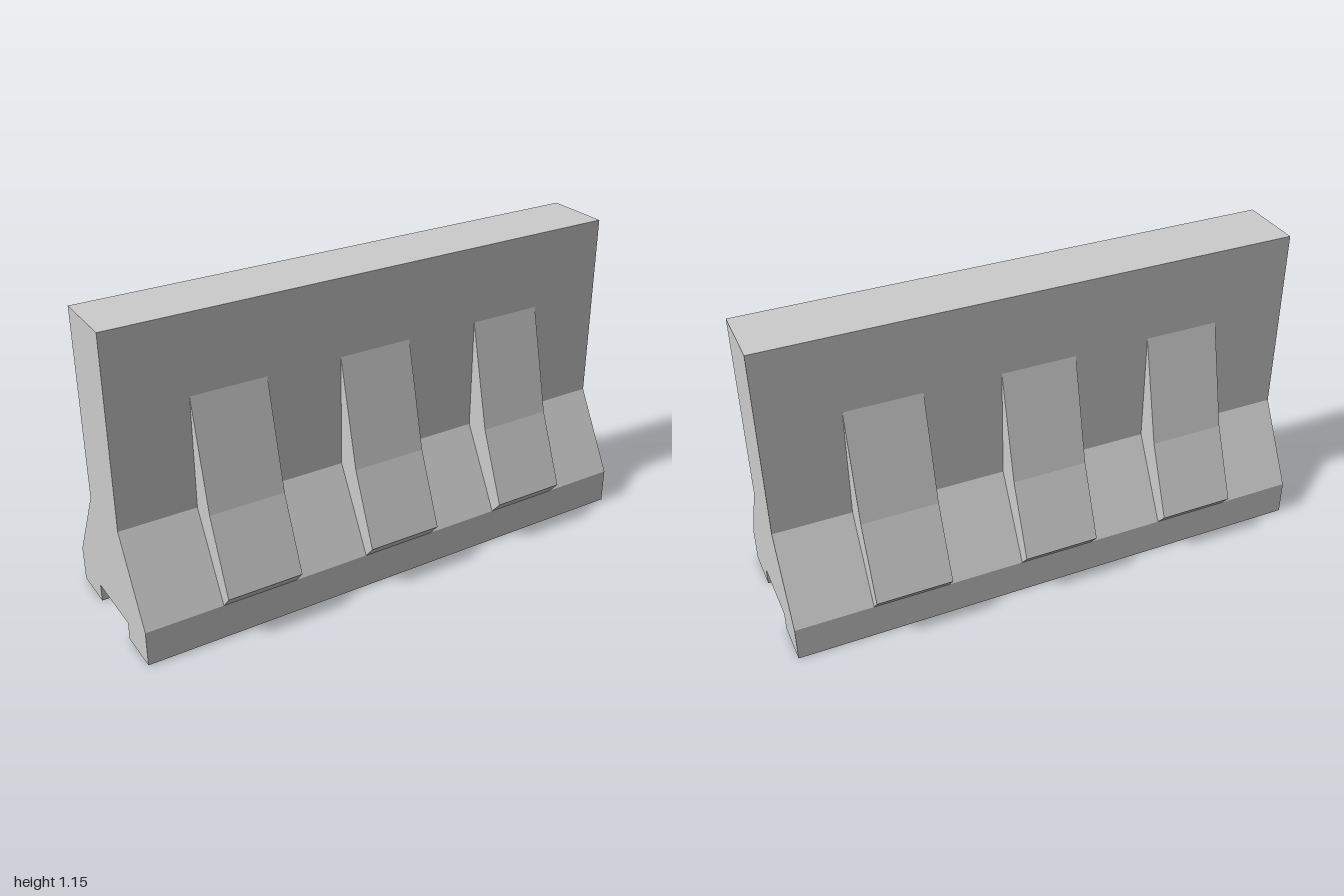
import * as THREE from 'three';

const material = new THREE.MeshStandardMaterial({ color: 0xcccccc, flatShading: true });

// Extrudes a [z, y] outline along x, centred on x = 0
function extrudeAlongX(points, length) {
  const shape = new THREE.Shape(points.map(([z, y]) => new THREE.Vector2(z, y)));
  const geometry = new THREE.ExtrudeGeometry(shape, { depth: length, bevelEnabled: false });
  geometry.translate(0, 0, -length / 2);
  geometry.rotateY(-Math.PI / 2);
  return geometry;
}

export function createModel() {
  const group = new THREE.Group();
  group.name = 'concreteBarrier';

  // Wall with sloped foot and a channel along the underside
  const half = [[0.129, 0.068], [0.129, 0], [0.293, 0], [0.293, 0.133], [0.124, 0.436], [0.124, 1.15]];
  const mirrored = half.map(([z, y]) => [-z, y]).reverse();
  const wall = new THREE.Mesh(extrudeAlongX([...half, ...mirrored], 2), material);
  wall.name = 'wall';
  group.add(wall);

  // Three buttresses on each face, their inner edge sunk into the wall
  const buttressGeometry = extrudeAlongX(
    [[0.1, 0.2], [0.293, 0.133], [0.335, 0.182], [0.222, 0.455], [0.124, 0.858], [0.1, 0.8]], 0.284);
  for (const side of ['front', 'back']) {
    for (const x of [-0.571, 0, 0.571]) {
      const buttress = new THREE.Mesh(buttressGeometry, material);
      buttress.name = side + 'Buttress';
      buttress.position.x = x;
      if (side === 'back') buttress.rotation.y = Math.PI;
      group.add(buttress);
    }
  }
  return group;
}
